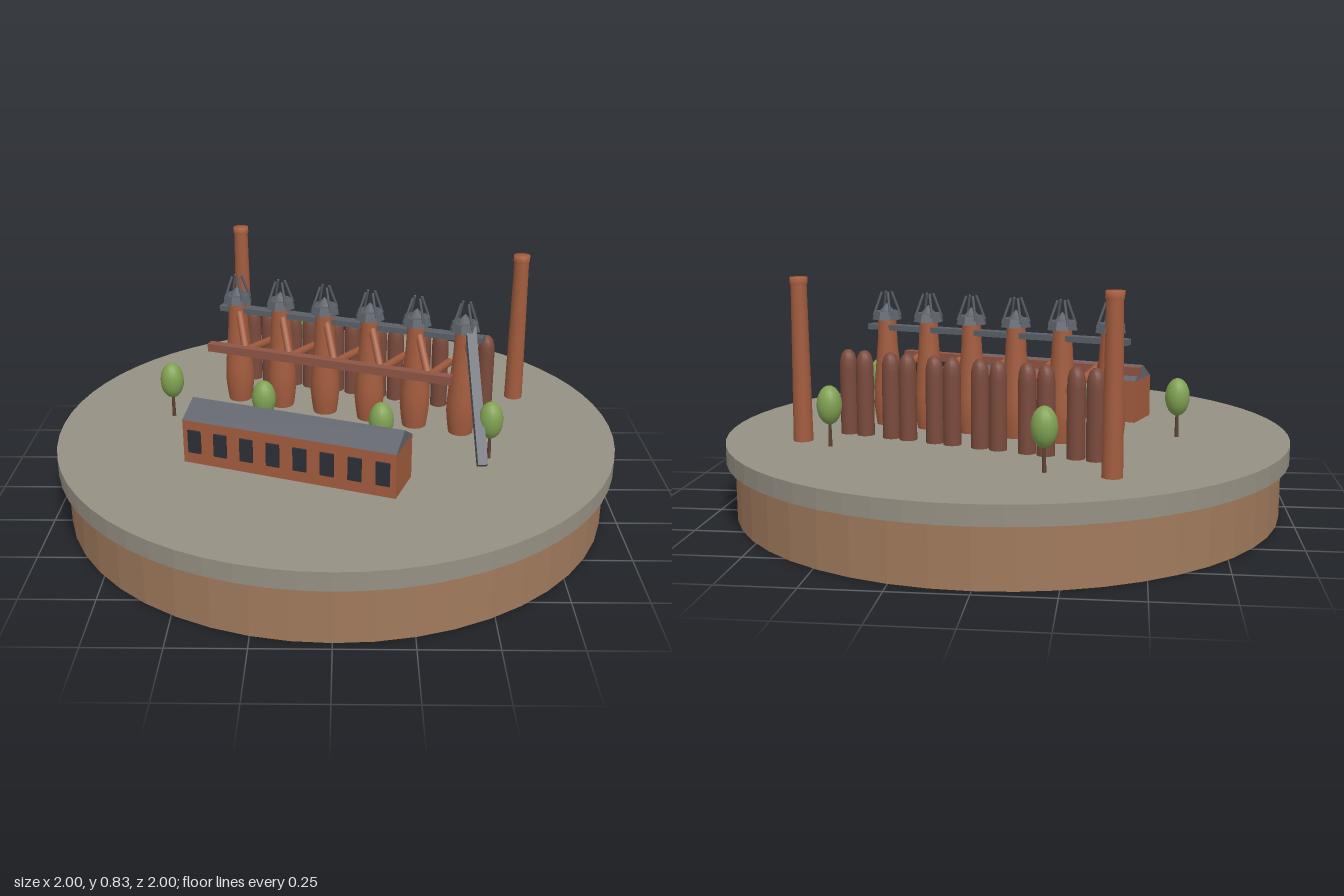
import * as THREE from 'three';

const mat = (name, color) => {
  const m = new THREE.MeshStandardMaterial({ color });
  m.name = name;
  return m;
};

const GROUND = 0.265;
const V = (x, y, z) => new THREE.Vector3(x, y, z);

export function createModel() {
  const slabGrey = mat('slab grey', 0x969084);
  const earth = mat('earth brown', 0xa07a5c);
  const brick = mat('rust brick', 0xa35c3e);
  const stoveBrown = mat('stove brown', 0x7a4a3c);
  const mainRed = mat('main red', 0x8e5546);
  const steel = mat('steel grey', 0x5a6068);
  const roofGrey = mat('roof grey', 0x62656d);
  const glass = mat('dark glass', 0x2b3038);
  const leaf = mat('leaf green', 0x80a152);
  const bark = mat('bark brown', 0x5c4433);

  const model = new THREE.Group();
  model.name = 'ironworks';

  const add = (parent, name, geometry, material, x = 0, y = 0, z = 0) => {
    const mesh = new THREE.Mesh(geometry, material);
    mesh.name = name;
    mesh.position.set(x, y, z);
    parent.add(mesh);
    return mesh;
  };
  const group = (parent, name, x, y, z, ry = 0) => {
    const g = new THREE.Group();
    g.name = name;
    g.position.set(x, y, z);
    g.rotation.y = ry;
    parent.add(g);
    return g;
  };
  // Round bar between two points
  const rod = (parent, name, a, b, r, material, sides = 8) => {
    const mesh = add(parent, name, new THREE.CylinderGeometry(r, r, a.distanceTo(b), sides), material);
    mesh.position.copy(a).lerp(b, 0.5);
    mesh.quaternion.setFromUnitVectors(V(0, 1, 0), b.clone().sub(a).normalize());
    return mesh;
  };
  const faceted = (geometry) => {
    const g = geometry.toNonIndexed();
    g.computeVertexNormals();
    return g;
  };
  const lathe = (points, sides) =>
    new THREE.LatheGeometry(points.map(([r, y]) => new THREE.Vector2(r, y)), sides);

  // Round plinth with an overhanging ground slab
  add(model, 'earthBase', faceted(new THREE.CylinderGeometry(0.97, 0.97, 0.2, 48)), earth, 0, 0.1, 0);
  add(model, 'groundSlab', faceted(new THREE.CylinderGeometry(1, 1, GROUND - 0.2, 64)),
    slabGrey, 0, (GROUND + 0.2) / 2, 0);

  // Everything built in a row is turned by the same angle
  const turn = -0.349;
  const works = group(model, 'furnaceRow', 0.04, 0, -0.1, turn);
  const step = 0.175;

  const furnaceShape = lathe([[0.044, GROUND], [0.049, 0.3], [0.054, 0.35], [0.052, 0.4],
    [0.044, 0.49], [0.037, 0.57], [0.033, 0.66]], 16);
  const hopperShape = faceted(new THREE.CylinderGeometry(0.046, 0.055, 0.03, 8));
  const bellShape = new THREE.ConeGeometry(0.028, 0.03, 8);
  const stoveShape = lathe([[0.031, GROUND], [0.031, 0.5], [0.029, 0.53], [0.023, 0.552],
    [0.013, 0.564], [0, 0.568]], 14);

  for (let i = 0; i < 6; i++) {
    const x = (i - 2.5) * step;
    const furnace = group(works, 'furnace', x, 0, 0);
    add(furnace, 'furnaceStack', furnaceShape, brick);
    add(furnace, 'hopper', hopperShape, steel, 0, 0.67, 0);
    add(furnace, 'bell', bellShape, steel, 0, 0.7, 0);

    // Headframe legs leaning in above the hopper
    for (let k = 0; k < 4; k++) {
      const a = Math.PI / 4 + k * Math.PI / 2;
      const c = Math.cos(a), s = Math.sin(a);
      rod(furnace, 'headframeLeg', V(c * 0.05, 0.67, s * 0.05), V(c * 0.018, 0.755, s * 0.018), 0.0045, steel, 6);
    }

    // Gas pipe slanting down to the collecting main
    rod(furnace, 'downcomer', V(0.01, 0.63, 0.01), V(0.075, 0.51, 0.1), 0.014, brick);

    // Pair of domed stoves behind each furnace
    for (const side of [-1, 1]) add(furnace, 'stove', stoveShape, stoveBrown, side * 0.034, 0, -0.207);

    // Blast pipe running between neighbouring furnaces
    if (i < 5) rod(works, 'blastPipe', V(x + step / 2, 0.515, 0.115), V(x + step / 2, 0.47, -0.14), 0.015, brick);
  }

  // Collecting main in front and charging gallery on top
  add(works, 'collectingMain', new THREE.BoxGeometry(0.93, 0.03, 0.034), mainRed, -0.037, 0.51, 0.117);
  add(works, 'chargingGallery', new THREE.BoxGeometry(1.01, 0.02, 0.042), steel, 0, 0.626, -0.005);

  // Inclined hoist from the ground to the last furnace
  const low = V(0.497, 0.285, 0.365), high = V(0.468, 0.672, 0.07);
  const hoist = add(model, 'inclinedHoist',
    new THREE.BoxGeometry(0.034, 0.03, low.distanceTo(high)), steel);
  hoist.position.copy(low).lerp(high, 0.5);
  hoist.lookAt(low);

  // Long hall with a pitched roof
  const hall = group(model, 'hall', -0.13, GROUND, 0.355, turn);
  const length = 0.76, width = 0.168, wall = 0.157;
  add(hall, 'hallWalls', new THREE.BoxGeometry(length, wall, width), brick, 0, wall / 2, 0);
  const gable = new THREE.Shape([[-width / 2, 0], [width / 2, 0], [0, 0.05]]
    .map(([x, y]) => new THREE.Vector2(x, y)));
  const roof = add(hall, 'hallRoof',
    new THREE.ExtrudeGeometry(gable, { depth: length, bevelEnabled: false }), roofGrey, -length / 2, wall, 0);
  roof.rotation.y = Math.PI / 2;
  for (let i = 0; i < 8; i++) {
    add(hall, 'hallWindow', new THREE.BoxGeometry(0.047, 0.082, 0.008), glass,
      (i - 3.5) * 0.096, 0.083, width / 2 + 0.003);
  }

  // Free-standing chimneys with a slight rim
  const chimneyShape = lathe([[0.034, GROUND], [0.027, 0.805], [0.03, 0.808], [0.03, 0.832], [0, 0.832]], 14);
  for (const [x, z] of [[-0.39, -0.66], [0.685, -0.27]]) add(model, 'chimney', chimneyShape, brick, x, 0, z);

  // Trees
  const crownShape = new THREE.SphereGeometry(0.043, 16, 12).scale(1, 1.55, 1);
  const trunkShape = new THREE.CylinderGeometry(0.005, 0.007, 0.1, 8);
  for (const [x, z] of [[-0.605, -0.075], [-0.18, -0.625], [0.568, -0.35],
    [-0.255, 0.088], [0.157, 0.273], [0.53, 0.265]]) {
    const tree = group(model, 'tree', x, GROUND, z);
    add(tree, 'trunk', trunkShape, bark, 0, 0.05, 0);
    add(tree, 'crown', crownShape, leaf, 0, 0.143, 0);
  }

  return model;
}
